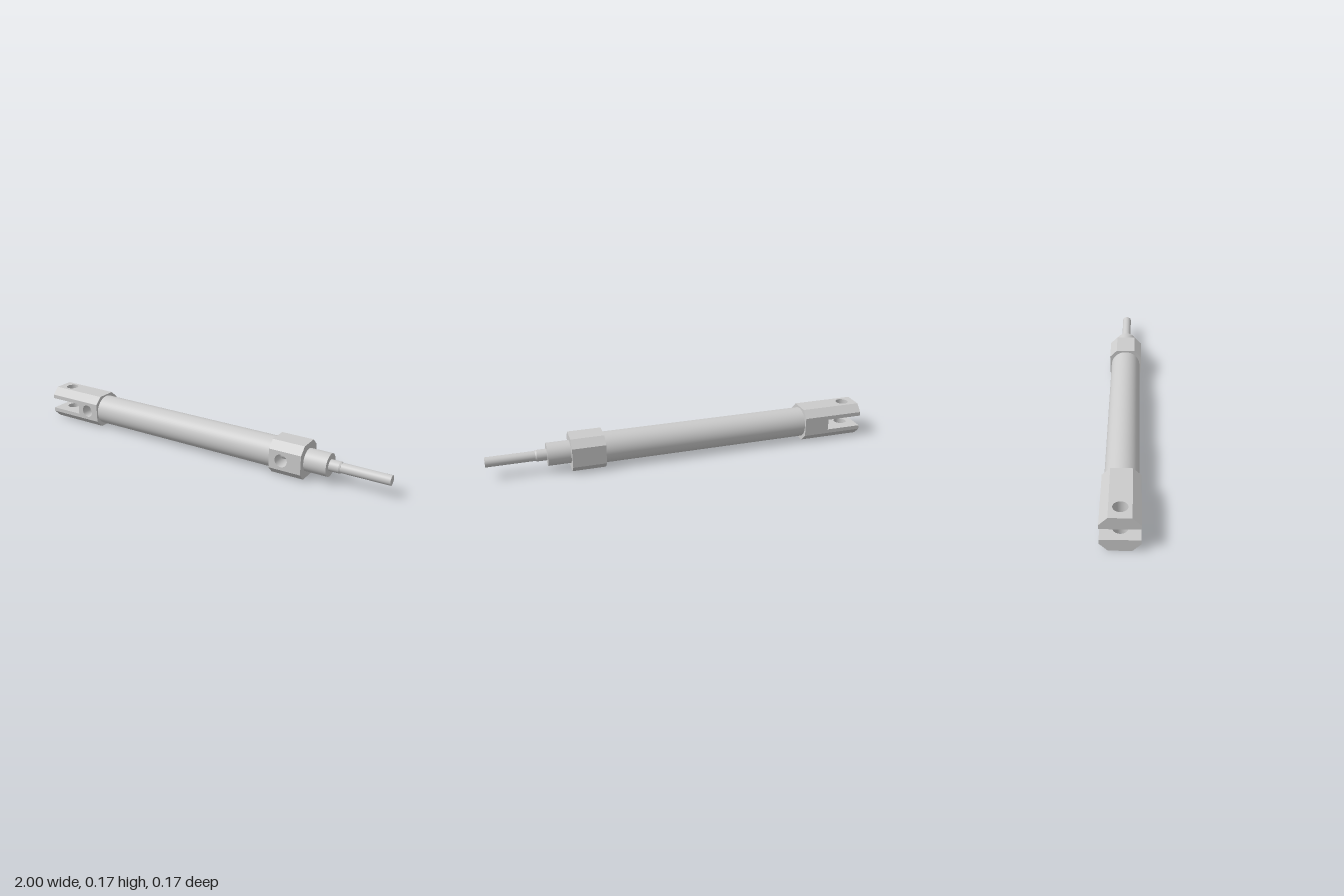
import * as THREE from 'three';
import { mergeGeometries } from 'three/addons/utils/BufferGeometryUtils.js';

const steel = new THREE.MeshStandardMaterial({ color: 0xcccccc });
const steelTwoSided = new THREE.MeshStandardMaterial({ color: 0xcccccc, side: THREE.DoubleSide });

const H = 0.0875; // half width of the end blocks, also the axis height
const F = 0.05;   // half width of a flat between chamfers

// Round part along x, optionally tapered
function rod(name, x0, x1, r0, r1 = r0) {
  const g = new THREE.CylinderGeometry(r1, r0, x1 - x0, 64);
  g.rotateZ(-Math.PI / 2).translate((x0 + x1) / 2, 0, 0);
  const mesh = new THREE.Mesh(g, steel);
  mesh.name = name;
  return mesh;
}

// Prism along x from a [z, y] section, with round holes drilled in chosen sides.
// holes: { side, x, r, depth, through }
function drilledPrism(name, section, x0, x1, holes) {
  const parts = [];
  const length = x1 - x0;
  section.forEach(([z, y], i) => {
    const [zn, yn] = section[(i + 1) % section.length];
    const width = Math.hypot(zn - z, yn - y);
    const panel = new THREE.Shape([
      new THREE.Vector2(0, 0), new THREE.Vector2(length, 0),
      new THREE.Vector2(length, width), new THREE.Vector2(0, width),
    ]);
    const side = [];
    for (const hole of holes.filter((h) => h.side === i)) {
      const u = hole.x - x0;
      panel.holes.push(new THREE.Path().absarc(u, width / 2, hole.r, 0, Math.PI * 2, true));
      if (!hole.depth) continue;
      // bore wall and, for a blind hole, its floor
      const wall = new THREE.CylinderGeometry(hole.r, hole.r, hole.depth, 48, 1, true);
      side.push(wall.rotateX(Math.PI / 2).translate(u, width / 2, -hole.depth / 2));
      if (!hole.through) {
        side.push(new THREE.CircleGeometry(hole.r, 48).translate(u, width / 2, -hole.depth));
      }
    }
    side.push(new THREE.ShapeGeometry(panel, 24));
    const along = new THREE.Vector3(1, 0, 0);
    const across = new THREE.Vector3(0, yn - y, zn - z).normalize();
    const out = new THREE.Vector3().crossVectors(along, across);
    const frame = new THREE.Matrix4().makeBasis(along, across, out).setPosition(x0, y, z);
    side.forEach((g) => parts.push(g.applyMatrix4(frame)));
  });
  // end faces
  for (const [x, s] of [[x0, 1], [x1, -1]]) {
    const face = new THREE.Shape(section.map(([z, y]) => new THREE.Vector2(s * z, y)));
    parts.push(new THREE.ShapeGeometry(face).rotateY(-s * Math.PI / 2).translate(x, 0, 0));
  }
  const mesh = new THREE.Mesh(mergeGeometries(parts), steelTwoSided);
  mesh.name = name;
  return mesh;
}

export function createModel() {
  const model = new THREE.Group();
  model.name = 'pneumaticCylinder';
  model.position.y = H;

  // side 0 faces the front
  const octagon = [[H, -F], [H, F], [F, H], [-F, H], [-H, F], [-H, -F], [-F, -H], [F, -H]];

  // barrel and piston rod
  model.add(
    rod('barrel', -0.675, 0.415, 0.079),
    rod('nose', 0.585, 0.70, 0.058),
    rod('rodCollar', 0.70, 0.75, 0.029),
    rod('rodCollarChamfer', 0.75, 0.758, 0.029, 0.026),
    rod('pistonRod', 0.415, 1, 0.025),
  );

  // end blocks with air ports on the front
  model.add(
    drilledPrism('headBlock', octagon, 0.415, 0.585,
      [{ side: 0, x: 0.48, r: 0.033, depth: 0.0875 }]),
    drilledPrism('rearBlock', octagon, -0.81, -0.675,
      [{ side: 0, x: -0.745, r: 0.034, depth: 0.06 }]),
  );

  // clevis: two mirrored jaws with a pin hole
  const gap = 0.029;
  const jawSection = [[H, gap], [H, F], [F, H], [-F, H], [-H, F], [-H, gap]];
  const pin = { x: -0.93, r: 0.033, through: true };
  for (const [name, turn] of [['upperJaw', 0], ['lowerJaw', Math.PI]]) {
    const jaw = drilledPrism(name, jawSection, -1, -0.81,
      [{ ...pin, side: 2, depth: H - gap }, { ...pin, side: 5 }]);
    jaw.rotation.x = turn;
    model.add(jaw);
  }

  const root = new THREE.Group();
  root.name = 'model';
  root.add(model);
  return root;
}
